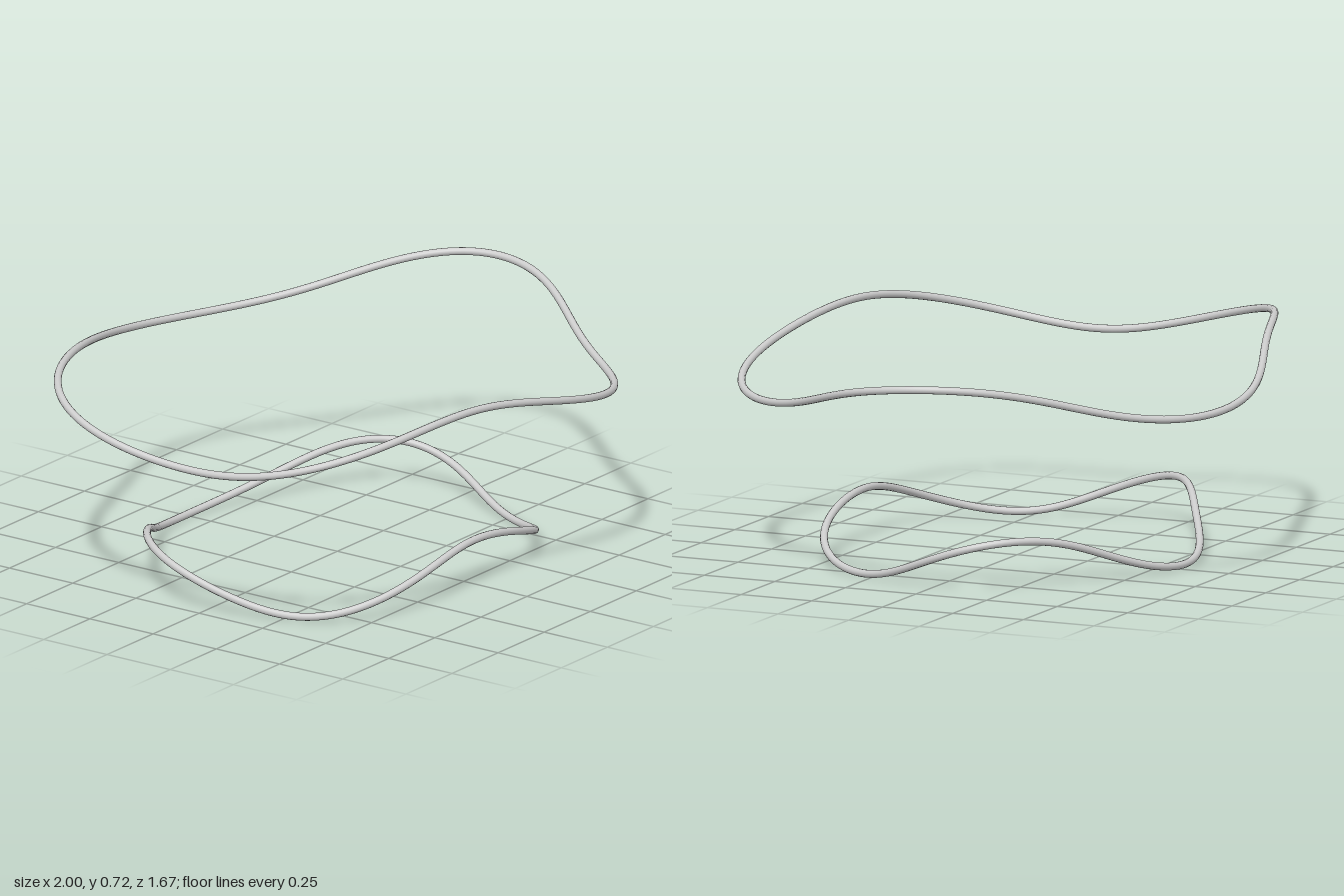
import * as THREE from 'three';

const TUBE = 0.0125;   // wire radius
const WAVE = 0.075;    // height of the three waves

// Closed oval with five soft corners and three vertical waves
class WavyLoop extends THREE.Curve {
  constructor(rx, rz, y, corner, phase) {
    super();
    Object.assign(this, { rx, rz, y, corner, phase });
  }
  getPoint(t, target = new THREE.Vector3()) {
    const a = t * Math.PI * 2;
    const r = 1 - this.corner * Math.cos(5 * a + this.phase);
    return target.set(
      -0.033 + this.rx * r * Math.sin(a),
      this.y + WAVE * Math.cos(3 * a + this.phase),
      0.015 + this.rz * r * Math.cos(a)
    );
  }
}

export function createModel() {
  const model = new THREE.Group();
  model.name = 'wavyLoops';
  const steel = new THREE.MeshStandardMaterial({ color: 0xcccccc });
  steel.name = 'light grey steel';

  const addLoop = (name, rx, rz, y, corner, phase) => {
    const curve = new WavyLoop(rx, rz, y, corner, phase);
    const mesh = new THREE.Mesh(new THREE.TubeGeometry(curve, 240, TUBE, 12, true), steel);
    mesh.name = name;
    model.add(mesh);
  };

  addLoop('lowerLoop', 0.691, 0.572, TUBE + WAVE, 0.04, 0);
  addLoop('upperLoop', 0.976, 0.808, 0.637, 0.05, 1);
  return model;
}
